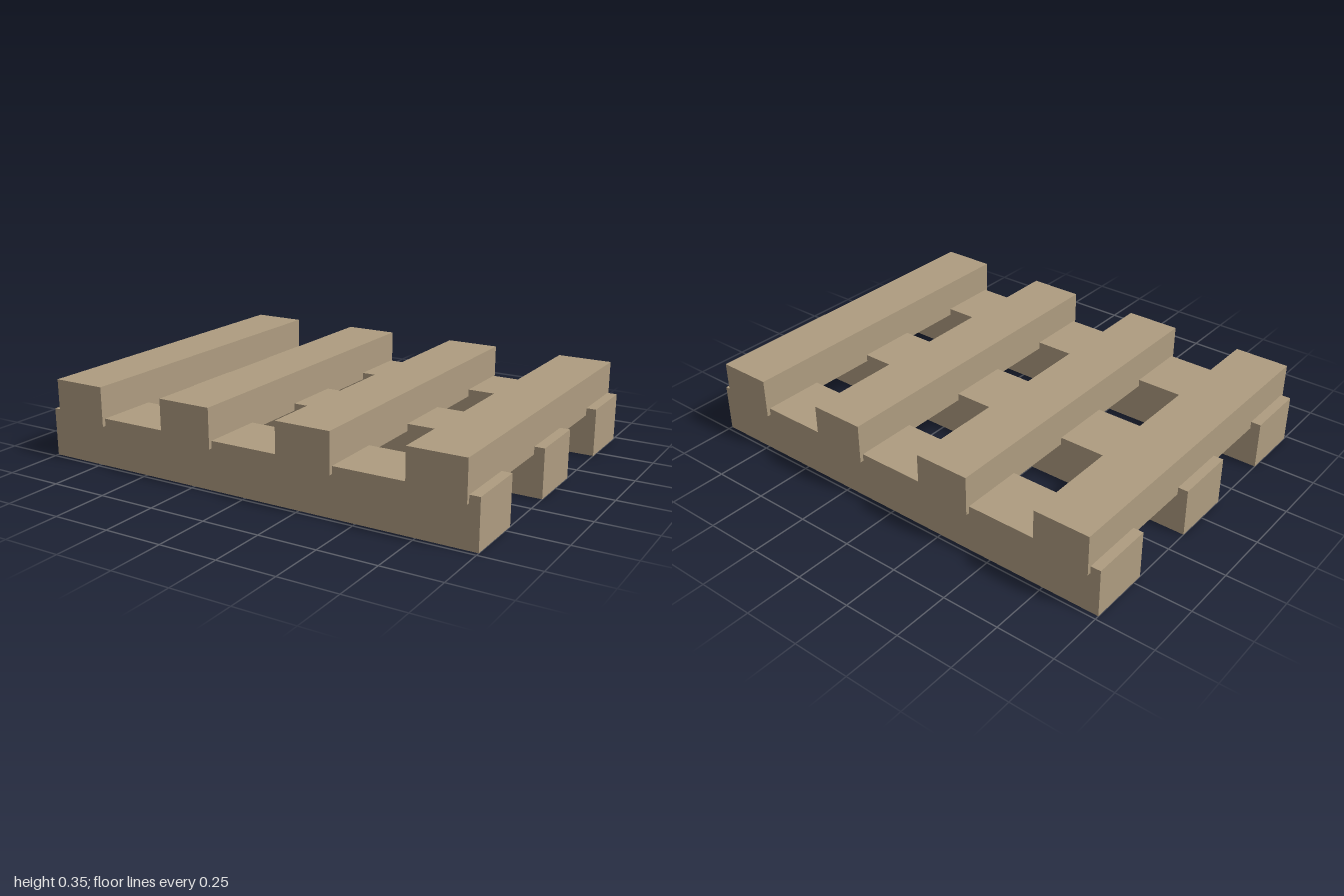
import * as THREE from 'three';

export function createModel() {
  const group = new THREE.Group();
  group.name = 'pallet';

  const wood = new THREE.MeshStandardMaterial({ color: 0xae9c80 });
  wood.name = 'wood';

  const addBoard = (geometry, name, x, y, z) => {
    const board = new THREE.Mesh(geometry, wood);
    board.name = name;
    board.position.set(x, y, z);
    group.add(board);
  };

  // Three bearers running left to right, standing on the ground
  const bearer = new THREE.BoxGeometry(2, 0.21, 0.276);
  ['back', 'middle', 'front'].forEach((side, i) =>
    addBoard(bearer, `${side}Bearer`, 0, 0.105, (i - 1) * 0.593));

  // Four deck slats running front to back, let slightly into the bearers
  const slat = new THREE.BoxGeometry(0.242, 0.172, 1.494);
  for (let i = 0; i < 4; i++) {
    addBoard(slat, `deckSlat${i + 1}`, (i - 1.5) * 0.557, 0.264, 0);
  }

  return group;
}
